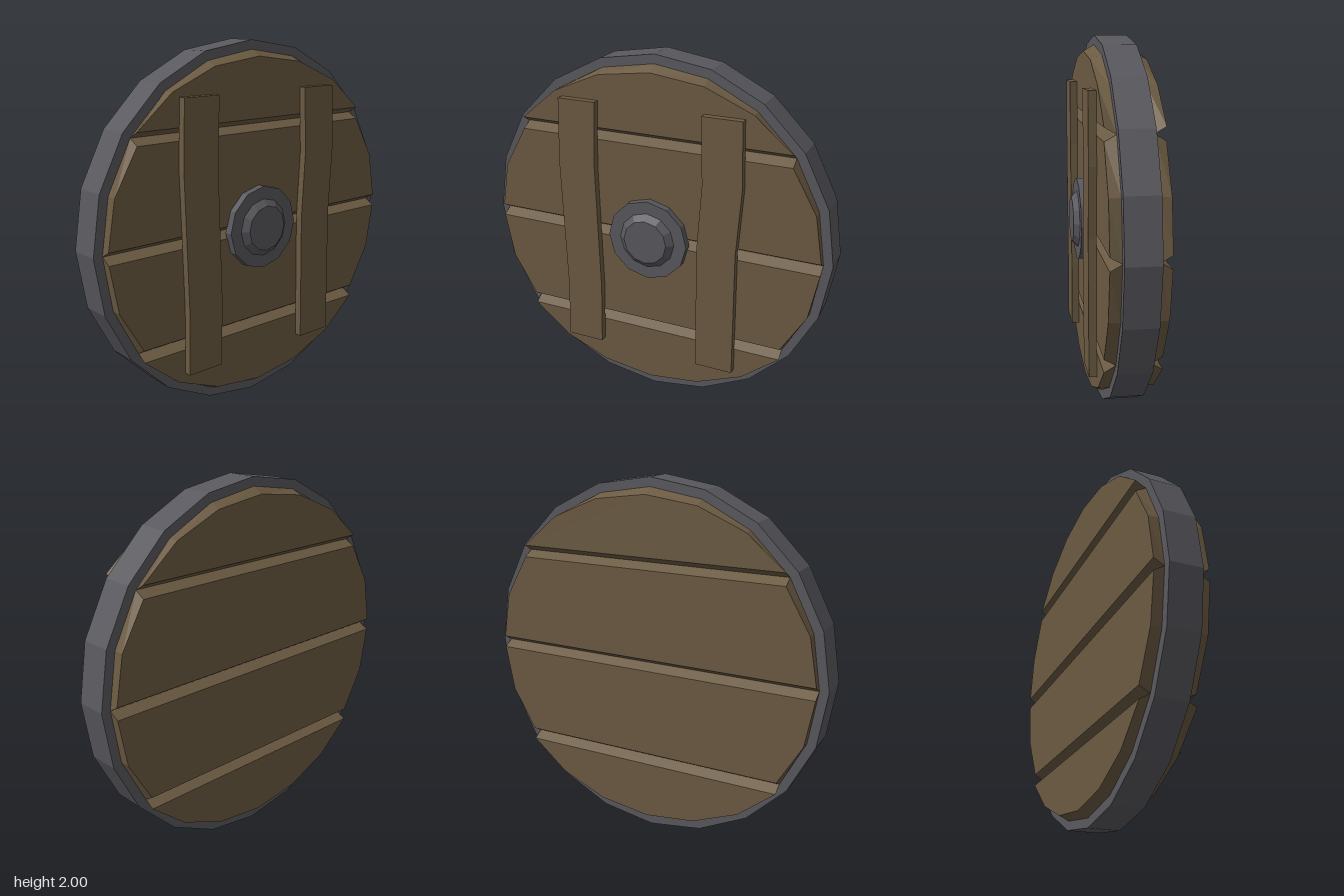
import * as THREE from 'three';

const wood = new THREE.MeshStandardMaterial({ color: 0x6b5a42, flatShading: true });
wood.name = 'wood';
const iron = new THREE.MeshStandardMaterial({ color: 0x58585e, flatShading: true });
iron.name = 'iron';

const STEP = Math.PI / 10; // twenty-sided wheel
const INNER = 0.95;

function add(group, name, geometry, material) {
  const mesh = new THREE.Mesh(geometry, material);
  mesh.name = name;
  group.add(mesh);
  return mesh;
}

// One horizontal slice of the disc between two rim corners, bevelled in height on both faces
function plankGeometry(lo, hi) {
  const outline = [];
  for (let k = lo; k <= hi; k++) outline.push([Math.sin(k * STEP), -Math.cos(k * STEP)]);
  for (let k = hi; k >= lo; k--) {
    if (Math.abs(k) !== 5) outline.push([Math.sin(k * STEP), Math.cos(k * STEP)]);
  }
  const yLo = INNER * Math.sin(lo * STEP), yHi = INNER * Math.sin(hi * STEP);
  const mid = (yLo + yHi) / 2, bevel = 1 - 0.066 / (yHi - yLo);
  const n = outline.length, pos = [], index = [];
  for (const [x, s] of [[-0.183, bevel], [-0.127, 1], [0.048, 1], [0.106, bevel]]) {
    for (const [y, z] of outline) pos.push(x, mid + (y * INNER - mid) * s, z * INNER);
  }
  for (let r = 0; r < 3; r++) {
    for (let i = 0; i < n; i++) {
      const a = r * n + i, b = r * n + (i + 1) % n;
      index.push(a, b, b + n, a, b + n, a + n);
    }
  }
  for (let i = 1; i < n - 1; i++) {
    index.push(0, i + 1, i, 3 * n, 3 * n + i, 3 * n + i + 1);
  }
  const g = new THREE.BufferGeometry();
  g.setAttribute('position', new THREE.Float32BufferAttribute(pos, 3));
  g.setIndex(index);
  const flat = g.toNonIndexed();
  flat.computeVertexNormals();
  return flat;
}

// Upright batten whose centre line wanders through the given z values, bottom to top
function battenGeometry(centres) {
  const g = new THREE.BoxGeometry(0.041, 1.465, 0.217, 1, centres.length - 1, 1);
  const p = g.attributes.position;
  for (let i = 0; i < p.count; i++) {
    const row = Math.round((p.getY(i) / 1.465 + 0.5) * (centres.length - 1));
    p.setZ(i, p.getZ(i) + centres[row]);
  }
  g.computeVertexNormals();
  return g.translate(0.1265, 0.0075, 0);
}

// Disc or cone frustum lying along x
function discGeometry(rBack, rFront, x0, x1) {
  return new THREE.CylinderGeometry(rFront, rBack, x1 - x0, 12)
    .rotateZ(-Math.PI / 2).translate((x0 + x1) / 2, 0, 0);
}

export function createModel() {
  const wheel = new THREE.Group();
  wheel.name = 'wheel';

  // Four planks with V grooves between them
  const planks = new THREE.Group();
  planks.name = 'planks';
  const cuts = [-5, -2, 0, 2, 5];
  for (let i = 0; i < 4; i++) add(planks, 'plank' + (i + 1), plankGeometry(cuts[i], cuts[i + 1]), wood);
  wheel.add(planks);

  // Iron tyre
  const profile = [[INNER, -0.127], [1, -0.127], [1, 0.048], [INNER, 0.048]]
    .map(([r, x]) => new THREE.Vector2(r, x));
  add(wheel, 'tyre', new THREE.LatheGeometry(profile, 20).rotateZ(-Math.PI / 2), iron);

  // Battens across the planks
  add(wheel, 'leftBatten', battenGeometry([0.408, 0.4, 0.41, 0.42, 0.408]), wood);
  add(wheel, 'rightBatten', battenGeometry([-0.406, -0.402, -0.398, -0.42, -0.407]), wood);

  // Hub plate and bevelled cap
  add(wheel, 'hubPlate', discGeometry(0.23, 0.23, 0.1, 0.148), iron);
  add(wheel, 'hubCap', discGeometry(0.16, 0.125, 0.148, 0.178), iron);

  wheel.position.y = 1;
  const model = new THREE.Group();
  model.name = 'woodenWheel';
  model.add(wheel);
  return model;
}
